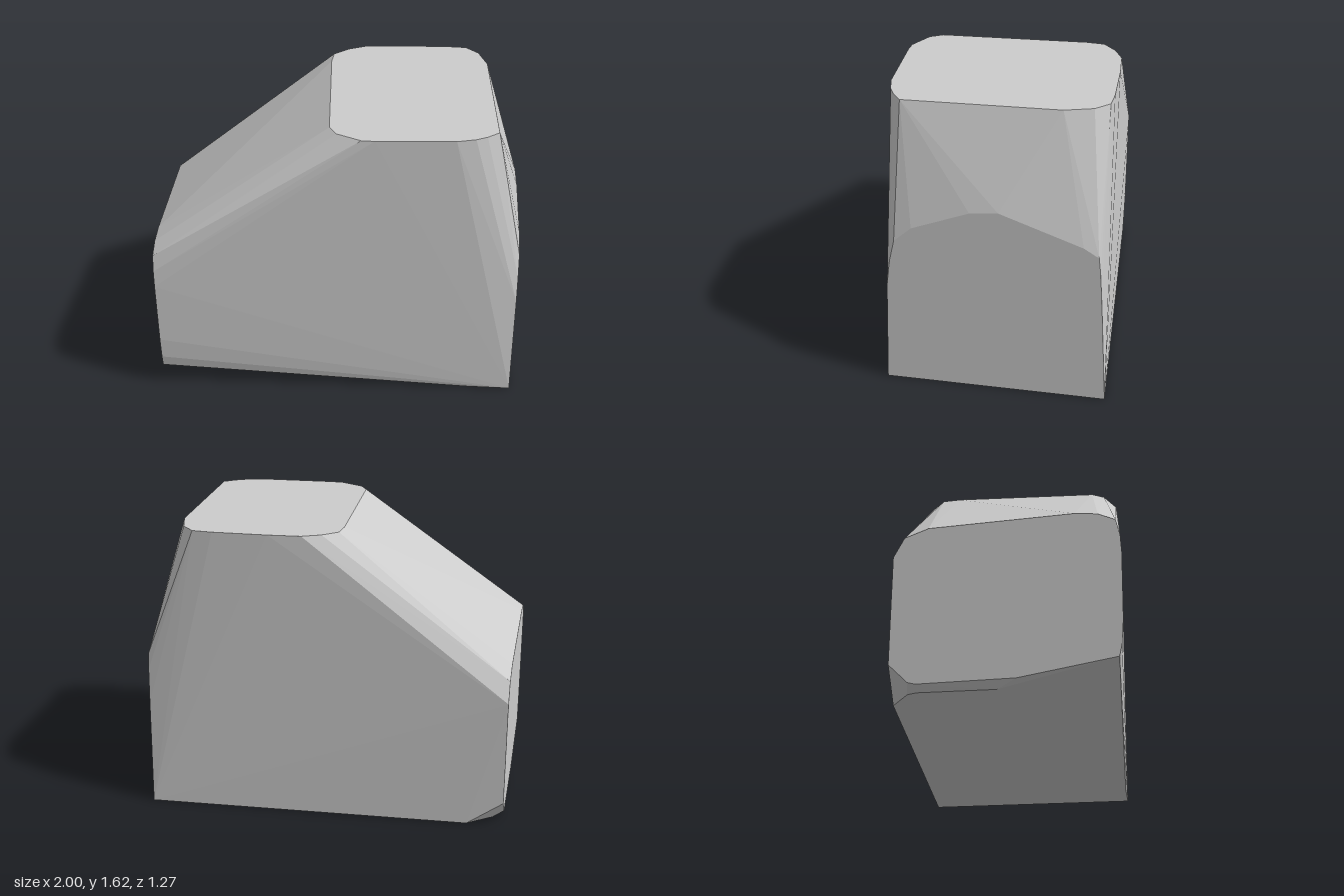
import * as THREE from 'three';
import { ConvexGeometry } from 'three/addons/geometries/ConvexGeometry.js';

// Outlines of the four flat faces; the body is the convex skin around them.
const top = [ // x, z at y = 1.62
  [-0.07, -0.36], [-0.06, -0.46], [0.02, -0.53], [0.12, -0.575], [0.3, -0.587], [0.6, -0.592],
  [0.71, -0.583], [0.78, -0.51], [0.825, -0.36], [0.845, 0.47], [0.78, 0.52], [0.72, 0.55],
  [0.62, 0.575], [0.2, 0.592], [0.13, 0.588], [0.0, 0.52], [-0.04, 0.45],
];
const tallEnd = [ // z, y at x = 1
  [0.57, 0], [0.545, 0.6], [0.525, 0.75], [0.495, 0.88], [0.4, 0.965], [0.09, 1.085],
  [-0.06, 1.1], [-0.5, 0.94], [-0.58, 0.89], [-0.59, 0.8], [-0.603, 0.6], [-0.635, 0],
];
const lowEnd = [ // z, y at x = -1
  [-0.54, 0.14], [-0.54, 0.74], [-0.485, 0.85], [-0.36, 0.9], [0.4, 0.94], [0.52, 0.93],
  [0.61, 0.89], [0.63, 0.8], [0.635, 0.7], [0.63, 0.33], [0.62, 0.2], [0.605, 0.13],
  [0.1, 0.04], [-0.4, 0.03], [-0.44, 0.04],
];
const base = [ // x, z at y = 0
  [0.76, 0.565], [-0.96, 0], [-0.96, -0.4], [-0.94, -0.45], [-0.8, -0.55],
];

export function createModel() {
  const points = [
    ...top.map(([x, z]) => new THREE.Vector3(x, 1.62, z)),
    ...tallEnd.map(([z, y]) => new THREE.Vector3(1, y, z)),
    ...lowEnd.map(([z, y]) => new THREE.Vector3(-1, y, z)),
    ...base.map(([x, z]) => new THREE.Vector3(x, 0, z)),
  ];

  // Faceted wedge-shaped block
  const body = new THREE.Mesh(
    new ConvexGeometry(points),
    new THREE.MeshStandardMaterial({ color: 0xcccccc, flatShading: true }),
  );
  body.name = 'wedgeBlock';

  const group = new THREE.Group();
  group.name = 'facetedBlock';
  group.add(body);
  return group;
}
